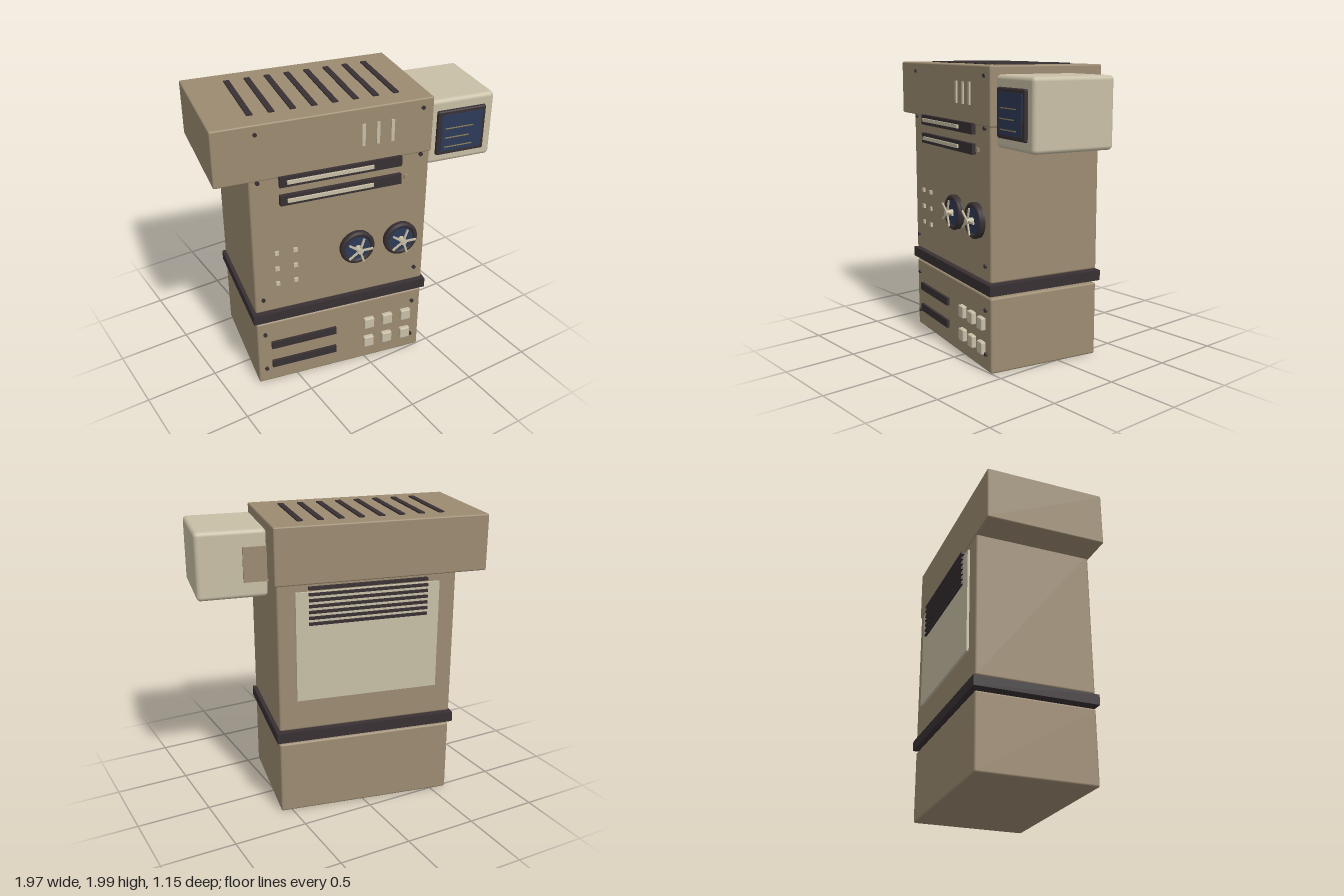
import * as THREE from 'three';
import { RoundedBoxGeometry } from 'three/addons/geometries/RoundedBoxGeometry.js';

const mat = (name, color) => {
  const m = new THREE.MeshStandardMaterial({ color });
  m.name = name;
  return m;
};

export function createModel() {
  const tan = mat('tan casing', 0x9c8b71);
  const cream = mat('cream plastic', 0xc8bfa6);
  const dark = mat('dark trim', 0x383033);
  const blue = mat('blue glass', 0x2d3a58);
  const amber = mat('amber trace', 0x8f8058);

  const model = new THREE.Group();
  model.name = 'computerCabinet';
  const cabinet = new THREE.Group();
  cabinet.name = 'cabinet';
  cabinet.position.set(-0.1, 0, -0.014);
  cabinet.rotation.y = -0.206;
  model.add(cabinet);

  const add = (name, geometry, material, x, y, z, parent = cabinet) => {
    const mesh = new THREE.Mesh(geometry, material);
    mesh.name = name;
    mesh.position.set(x, y, z);
    parent.add(mesh);
    return mesh;
  };
  const box = (name, material, w, h, d, x, y, z, parent) =>
    add(name, new THREE.BoxGeometry(w, h, d), material, x, y, z, parent);
  const rounded = (name, material, w, h, d, r, x, y, z) =>
    add(name, new RoundedBoxGeometry(w, h, d, 3, r), material, x, y, z);
  const disc = (name, material, r, depth, x, y, z, parent) => {
    const mesh = add(name, new THREE.CylinderGeometry(r, r, depth, 32), material, x, y, z, parent);
    mesh.rotation.x = Math.PI / 2;
    return mesh;
  };
  const FRONT = 0.404;

  // Stacked casing: base, belt, main body and overhanging hood
  rounded('base', tan, 1.21, 0.51, 0.808, 0.014, 0, 0.262, 0);
  box('belt', dark, 1.25, 0.07, 0.845, 0, 0.572, 0);
  rounded('body', tan, 1.21, 1.035, 0.808, 0.014, 0, 1.1325, 0);
  rounded('hood', tan, 1.435, 0.377, 0.82, 0.01, -0.1025, 1.803, 0);

  // Hood top vents
  for (let i = 0; i < 8; i++) {
    box('topVent', dark, 0.038, 0.02, 0.555, -0.538 + i * 0.136, 1.99, -0.003);
  }
  // Hood front slits
  for (const x of [0.14, 0.237, 0.335]) box('hoodSlit', cream, 0.022, 0.147, 0.02, x, 1.812, 0.41);

  // Screws
  for (const y of [1.93, 1.605, 0.72, 0.425, 0.125]) {
    for (const x of [-0.55, 0.54]) disc('screw', dark, 0.013, 0.02, x, y, FRONT + 0.004);
  }

  // Drive bays
  for (const y of [1.59, 1.46]) {
    box('driveBay', dark, 0.817, 0.07, 0.04, -0.006, y, 0.412);
    box('driveStrip', cream, 0.575, 0.024, 0.03, -0.082, y, 0.43);
  }
  box('driveButton', tan, 0.026, 0.026, 0.02, 0.443, 1.46, FRONT + 0.004);

  // Indicator keys
  for (const y of [1.07, 0.95, 0.832]) {
    for (const x of [-0.446, -0.32]) box('indicatorKey', cream, 0.028, 0.028, 0.02, x, y, FRONT + 0.004);
  }

  // Tape reels with five spokes
  for (const x of [0.105, 0.417]) {
    const reel = new THREE.Group();
    reel.name = 'tapeReel';
    reel.position.set(x, 1, FRONT);
    cabinet.add(reel);
    disc('reelBase', dark, 0.118, 0.03, 0, 0, 0.005, reel);
    disc('reelFace', blue, 0.1, 0.03, 0, 0, 0.018, reel);
    add('reelRim', new THREE.TorusGeometry(0.103, 0.018, 12, 40), dark, 0, 0, 0.026, reel);
    disc('reelHub', cream, 0.021, 0.06, 0, 0, 0.055, reel);
    for (let i = 0; i < 5; i++) {
      const a = (i * Math.PI * 2) / 5;
      const spoke = box('reelSpoke', cream, 0.085, 0.013, 0.01,
        Math.cos(a) * 0.05, Math.sin(a) * 0.05, 0.072, reel);
      spoke.rotation.z = a;
    }
  }

  // Base slots and push buttons
  for (const y of [0.325, 0.16]) {
    box('baseSlot', dark, 0.47, 0.055, 0.03, -0.273, y, 0.408);
    for (const x of [0.208, 0.347, 0.488]) {
      rounded('pushButton', cream, 0.074, 0.085, 0.05, 0.008, x, y, 0.41);
    }
  }

  // Back panel with louvres
  box('backPanel', cream, 0.97, 0.74, 0.03, 0, 1.2, -0.405);
  for (let i = 0; i < 7; i++) {
    box('backLouvre', dark, 0.8, 0.018, 0.03, 0, 1.36 + i * 0.039, -0.42);
  }

  // Side monitor on its bracket
  box('monitorBracket', tan, 0.27, 0.23, 0.2, 0.635, 1.715, -0.103);
  rounded('monitor', cream, 0.462, 0.447, 0.56, 0.028, 0.84, 1.715, 0.088);
  rounded('screenFrame', dark, 0.342, 0.308, 0.04, 0.01, 0.834, 1.712, 0.37);
  box('screen', blue, 0.29, 0.256, 0.008, 0.834, 1.712, 0.391);
  [[1.745, 0.2], [1.68, 0.17], [1.615, 0.2]].forEach(([y, w]) =>
    box('screenTrace', amber, w, 0.007, 0.004, 0.715 + w / 2, y, 0.396));

  return model;
}
